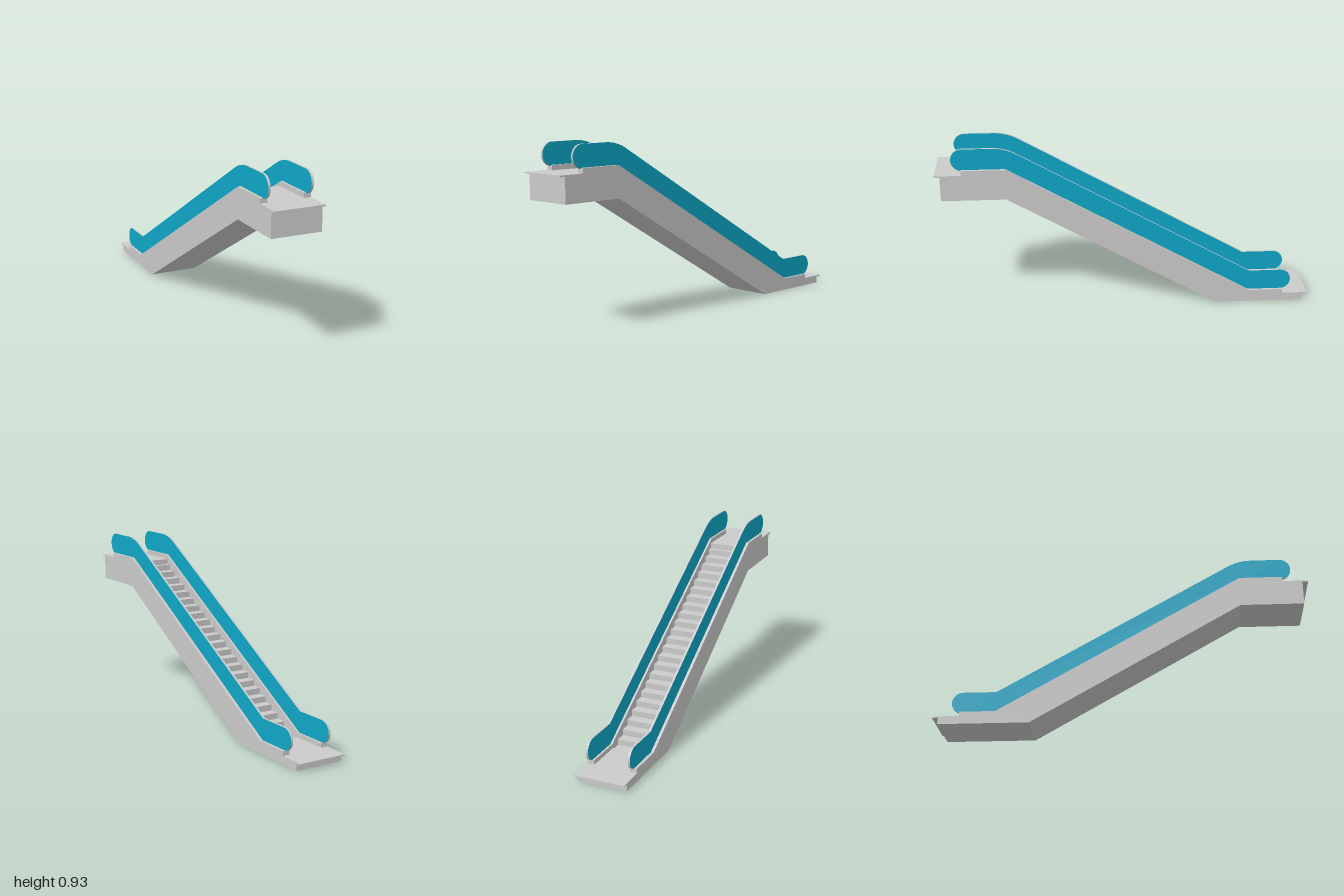
import * as THREE from 'three';
import { toCreasedNormals } from 'three/addons/utils/BufferGeometryUtils.js';

const HALF = 0.135;    // half width of the body
const INNER = 0.097;   // half width of the steps
const grey = new THREE.MeshStandardMaterial({ color: 0xcccccc });
const teal = new THREE.MeshStandardMaterial({ color: 0x0fa8c8 });

// Extrudes a side profile drawn in (z, y) across x from x0 to x1.
function sideExtrude(name, shape, x0, x1, material) {
  const geo = new THREE.ExtrudeGeometry(shape, { depth: x1 - x0, bevelEnabled: false, curveSegments: 16 });
  geo.rotateY(-Math.PI / 2);
  geo.translate(x1, 0, 0);
  const mesh = new THREE.Mesh(toCreasedNormals(geo, 0.5), material);
  mesh.name = name;
  return mesh;
}

const polygon = (points) => new THREE.Shape(points.map(([z, y]) => new THREE.Vector2(z, y)));

// Box given by half width, and ranges in y and z.
function slab(name, half, y0, y1, z0, z1) {
  const mesh = new THREE.Mesh(new THREE.BoxGeometry(half * 2, y1 - y0, z1 - z0), grey);
  mesh.position.set(0, (y0 + y1) / 2, (z0 + z1) / 2);
  mesh.name = name;
  return mesh;
}

// Underside shared by the side walls and the stepped core
const underside = [[-0.97, 0], [-0.49, 0], [0.63, 0.65], [0.97, 0.65]];

function wallShape() {
  return polygon([
    ...underside,
    [0.97, 0.782], [0.86, 0.782], [0.86, 0.816], [0.63, 0.816],
    [-0.67, 0.067], [-0.86, 0.067], [-0.86, 0.036], [-0.97, 0.036],
  ]);
}

function coreShape() {
  const count = 24, z0 = -0.66, y0 = 0.036, run = 0.0545, rise = 0.0315;
  const stairs = [];
  for (let i = 0; i < count; i++) {
    const y = y0 + i * rise;
    const end = i === count - 1 ? 0.62 : z0 + (i + 1) * run;
    if (i > 0) stairs.push([z0 + i * run, y]);
    stairs.push([end, y]);
  }
  stairs.push([0.62, 0.782], [0.97, 0.782]);
  return polygon([...underside, ...stairs.reverse(), [-0.97, y0]]);
}

// Panel outline with round ends and a softened upper bend
function panelShape() {
  const s = new THREE.Shape();
  s.moveTo(-0.845, 0.064);
  s.lineTo(-0.67, 0.064);
  s.lineTo(0.63, 0.81);
  s.lineTo(0.85, 0.81);
  s.absarc(0.85, 0.87, 0.06, -Math.PI / 2, Math.PI / 2, false);
  s.lineTo(0.7, 0.93);
  s.quadraticCurveTo(0.63, 0.93, 0.57, 0.896);
  s.lineTo(-0.67, 0.18);
  s.lineTo(-0.845, 0.18);
  s.absarc(-0.845, 0.122, 0.058, Math.PI / 2, Math.PI * 1.5, false);
  return s;
}

export function createModel() {
  const model = new THREE.Group();
  model.name = 'escalator';

  // Stepped core between the side walls
  model.add(sideExtrude('steps', coreShape(), -INNER, INNER, grey));

  // Side walls and balustrades; the panel rim is the grey handrail
  for (const [side, sign] of [['left', 1], ['right', -1]]) {
    const across = (name, shape, a, b, material) =>
      sideExtrude(name, shape, Math.min(a * sign, b * sign), Math.max(a * sign, b * sign), material);
    model.add(across(side + 'Wall', wallShape(), INNER, HALF, grey));
    model.add(across(side + 'Balustrade', panelShape(), 0.108, 0.12, [teal, grey]));
  }

  // Landing plates: narrow between the walls, full width beyond them
  model.add(slab('upperLandingInner', INNER, 0.782, 0.79, 0.62, 0.86));
  model.add(slab('upperLandingOuter', HALF, 0.782, 0.79, 0.86, 1));
  model.add(slab('lowerLandingInner', INNER, 0.036, 0.043, -0.86, -0.66));
  model.add(slab('lowerLandingOuter', HALF, 0.036, 0.043, -1, -0.86));

  return model;
}
